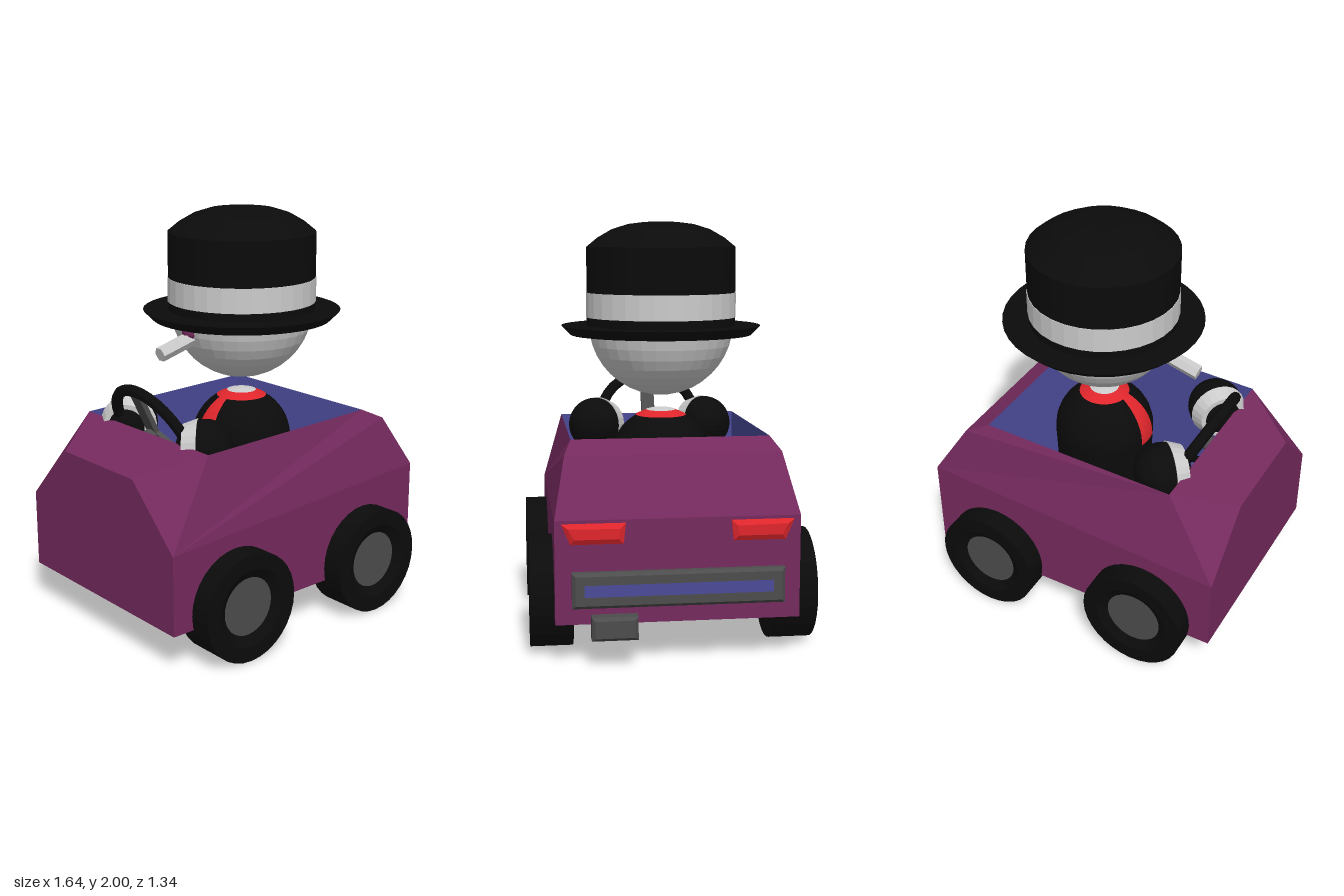
import * as THREE from 'three';

const mat = (color, side = THREE.FrontSide) =>
  new THREE.MeshStandardMaterial({ color, flatShading: true, side });
const PURPLE = mat(0x752a5e), BLUE = mat(0x4a4a98), BLACK = mat(0x0b0b0b), DARK = mat(0x262626);
const GREY = mat(0x4c4c4c), WHITE = mat(0xcccccc), RED = mat(0xe0262c);

function add(parent, name, geo, material, x = 0, y = 0, z = 0) {
  const m = new THREE.Mesh(geo, material);
  m.name = name;
  m.position.set(x, y, z);
  parent.add(m);
  return m;
}

// Flat polygons, each drawn as a fan
function facets(polys) {
  const pos = [];
  for (const p of polys)
    for (let i = 1; i < p.length - 1; i++) pos.push(...p[0], ...p[i], ...p[i + 1]);
  const g = new THREE.BufferGeometry();
  g.setAttribute('position', new THREE.Float32BufferAttribute(pos, 3));
  g.computeVertexNormals();
  return g;
}
const mirrorZ = (p) => p.map(([x, y, z]) => [x, y, -z]).reverse();
const both = (p) => [p, mirrorZ(p)];
// Panel across the car between two profile points [x, y, halfWidth]
const strip = (a, b) => [a, [a[0], a[1], -a[2]], [b[0], b[1], -b[2]], b];

const lathe = (pts, seg = 32) =>
  new THREE.LatheGeometry(pts.map((p) => new THREE.Vector2(...p)), seg);

// Rod between two points
function rod(parent, name, a, b, r, sides, material) {
  const A = new THREE.Vector3(...a), B = new THREE.Vector3(...b), d = B.clone().sub(A);
  const m = add(parent, name, new THREE.CylinderGeometry(r, r, d.length(), sides), material);
  m.position.copy(A).add(B).multiplyScalar(0.5);
  m.quaternion.setFromUnitVectors(new THREE.Vector3(0, 1, 0), d.normalize());
  return m;
}

// Bevelled plate on the tail, outline in [z, y], thickness along +x
function tailPlate(outline, hole, depth, bevel) {
  const v = (pts) => pts.map(([z, y]) => new THREE.Vector2(-z, y));
  const s = new THREE.Shape(v(outline));
  if (hole) s.holes.push(new THREE.Path(v(hole)));
  const g = new THREE.ExtrudeGeometry(s, {
    depth, bevelEnabled: true, bevelSegments: 1, bevelSize: bevel, bevelThickness: 0.015, bevelOffset: -bevel,
  });
  return g.rotateY(Math.PI / 2);
}
const rect = (z0, z1, y0, y1) => [[z0, y0], [z1, y0], [z1, y1], [z0, y1]];

function buildBody(car) {
  const tailLow = [0.74, 0.2, 0.56], tailBelt = [0.74, 0.68, 0.56], tailTop = [0.575, 0.945, 0.505];
  const rimBack = [0.46, 1.0, 0.47], floorBack = [0.31, 0.35, 0.47], floorFront = [-0.54, 0.35, 0.47];
  const rimFront = [-0.54, 0.975, 0.47], noseTop = [-0.82, 0.87, 0.27];
  const noseBelt = [-0.82, 0.585, 0.56], noseLow = [-0.82, 0.2, 0.56];
  const noseFace = [[-0.82, 0.2, -0.56], noseLow, noseBelt, noseTop, [-0.82, 0.87, -0.27], [-0.82, 0.585, -0.56]];

  add(car, 'bodyShell', facets([
    strip(tailLow, tailBelt), strip(tailBelt, tailTop), strip(tailTop, rimBack),
    strip(rimFront, noseTop), noseFace,
    ...both([noseLow, tailLow, tailBelt, noseBelt]),
    ...both([noseBelt, tailBelt, tailTop, rimBack, rimFront]),
    ...both([noseBelt, rimFront, noseTop]),
  ]), PURPLE);
  add(car, 'underside', facets([strip(noseLow, tailLow)]), DARK);
  add(car, 'cockpit', facets([
    strip(rimBack, floorBack), strip(floorBack, floorFront), strip(floorFront, rimFront),
    ...both([floorFront, rimFront, rimBack, floorBack]),
  ]), BLUE);
}

function buildTail(car) {
  for (const s of [1, -1])
    add(car, 'tailLight', tailPlate([[s * 0.53, 0.665], [s * 0.24, 0.665], [s * 0.25, 0.57], [s * 0.49, 0.57]],
      null, 0.015, 0.025), RED, 0.73);
  add(car, 'bumperFrame', tailPlate(rect(-0.485, 0.485, 0.28, 0.445), rect(-0.445, 0.445, 0.32, 0.405), 0.03, 0.015), GREY, 0.735);
  add(car, 'bumperPanel', new THREE.BoxGeometry(0.03, 0.1, 0.9), BLUE, 0.74, 0.3625, 0);
  // Exhaust: pipe and a wider hollow tip
  add(car, 'exhaustPipe', new THREE.BoxGeometry(0.22, 0.08, 0.13), GREY, 0.68, 0.195, 0.295);
  add(car, 'exhaustTip', tailPlate(rect(0.19, 0.4, 0.14, 0.25), rect(0.24, 0.35, 0.18, 0.21), 0.05, 0.015), GREY, 0.755);
}

function buildWheels(car) {
  const tyre = lathe([[0, 0], [0.265, 0], [0.265, 0.2], [0.19, 0.2], [0.14, 0.17]]);
  const hub = new THREE.CircleGeometry(0.142, 32).rotateX(-Math.PI / 2);
  for (const x of [-0.45, 0.39])
    for (const s of [1, -1]) {
      const wheel = new THREE.Group();
      wheel.name = 'wheel';
      wheel.position.set(x, 0.267, s * 0.47);
      wheel.rotation.x = s * Math.PI / 2;
      add(wheel, 'tyre', tyre, BLACK);
      add(wheel, 'hubcap', hub, GREY, 0, 0.172, 0);
      car.add(wheel);
    }
}

function buildSteering(car) {
  const g = new THREE.Group();
  g.name = 'steeringWheel';
  g.position.set(-0.485, 0.955, 0);
  g.rotation.set(-0.46, Math.PI / 2, 0, 'YXZ');
  add(g, 'steeringRim', new THREE.TorusGeometry(0.258, 0.028, 8, 32), BLACK);
  for (let i = 0; i < 3; i++) {
    const a = Math.PI / 2 + (i * Math.PI * 2) / 3;
    const spoke = add(g, 'spoke', new THREE.BoxGeometry(0.25, 0.07, 0.025), GREY, Math.cos(a) * 0.125, Math.sin(a) * 0.125, 0);
    spoke.rotation.z = a;
  }
  rod(g, 'steeringColumn', [0, 0, 0], [0, 0, -0.2], 0.04, 12, GREY);
  car.add(g);
}

function buildDriver(root) {
  const driver = new THREE.Group();
  driver.name = 'driver';
  root.add(driver);
  const cx = 0.07;

  // Torso with coloured collar rings on a round top
  const ball = (t0, t1, r = 0.25, p0 = 0, p1 = Math.PI * 2, n = 32) =>
    new THREE.SphereGeometry(r, n, 10, p0, p1, t0, t1 - t0);
  add(driver, 'shirt', ball(0, 0.29, 0.256), WHITE, cx, 0.835, 0);
  add(driver, 'collar', ball(0.25, 0.52, 0.253), RED, cx, 0.835, 0);
  add(driver, 'coat', ball(0.45, Math.PI / 2), BLACK, cx, 0.835, 0);
  add(driver, 'coatLower', lathe([[0, 0.36], [0.2, 0.36], [0.24, 0.6], [0.25, 0.835]]), BLACK, cx, 0, 0);
  add(driver, 'tie', ball(0.4, 1.6, 0.254, -0.22, 0.44, 4), RED, cx, 0.835, 0);

  // Hands: dark sleeve ball with a pale cuff turned to the steering wheel
  for (const s of [1, -1]) {
    add(driver, 'sleeve', new THREE.SphereGeometry(0.14, 24, 16), BLACK, -0.415, 0.937, s * 0.295);
    const d = [-0.72, 0, -0.69 * s];
    const at = (t) => [-0.415 + d[0] * t, 0.937, s * 0.295 + d[2] * t];
    const cuff = rod(driver, 'cuff', at(0.035), at(0.105), 1, 24, WHITE);
    cuff.geometry = new THREE.CylinderGeometry(0.115, 0.142, 0.07, 24);
  }

  // Head, mouth and cigar
  add(driver, 'head', new THREE.SphereGeometry(0.355, 32, 20), WHITE, cx, 1.51, 0);
  add(driver, 'mouth', new THREE.SphereGeometry(0.045, 12, 8), PURPLE, -0.255, 1.425, 0);
  rod(driver, 'cigar', [-0.445, 1.338, 0], [-0.2, 1.405, 0], 0.037, 6, WHITE);

  // Hat
  add(driver, 'hatBrim', lathe([[0, 1.455], [0.445, 1.455], [0.49, 1.5], [0, 1.5]], 40), BLACK, cx, 0, 0);
  add(driver, 'hatCrown', lathe([[0.365, 1.49], [0.365, 1.88], [0.31, 1.925], [0.24, 1.965], [0.16, 1.99], [0.08, 2], [0, 2]]), BLACK, cx, 0, 0);
  add(driver, 'hatBand', new THREE.CylinderGeometry(0.368, 0.368, 0.12, 32), WHITE, cx, 1.6, 0);
}

export function createModel() {
  const root = new THREE.Group();
  root.name = 'carWithDriver';
  const car = new THREE.Group();
  car.name = 'car';
  root.add(car);
  buildBody(car);
  buildTail(car);
  buildWheels(car);
  buildSteering(car);
  buildDriver(root);
  return root;
}
